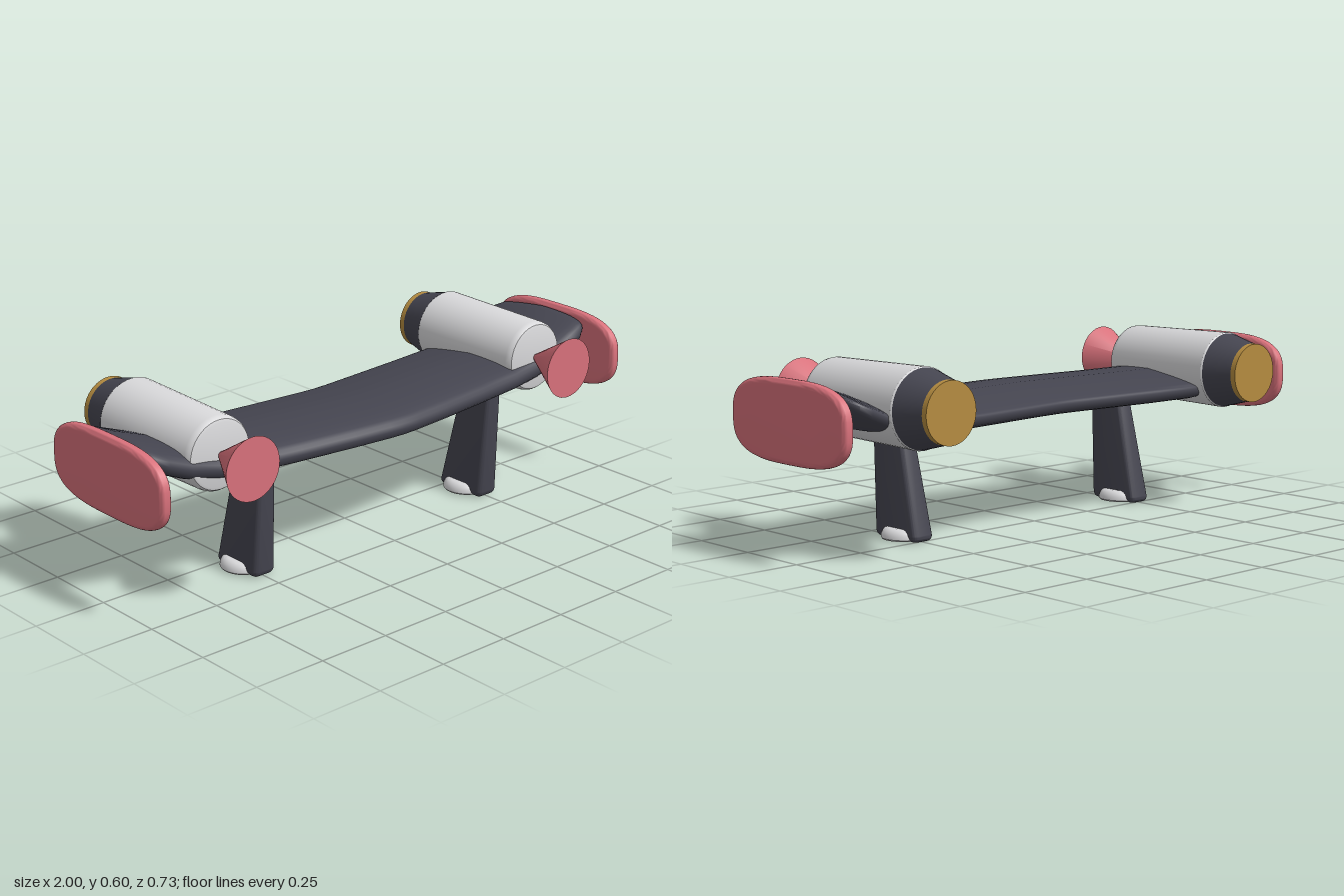
import * as THREE from 'three';
import { toCreasedNormals } from 'three/addons/utils/BufferGeometryUtils.js';
import { RoundedBoxGeometry } from 'three/addons/geometries/RoundedBoxGeometry.js';

const material = (name, color, side = THREE.FrontSide) => {
  const m = new THREE.MeshStandardMaterial({ color, side });
  m.name = name;
  return m;
};

const mesh = (name, geometry, mat) => {
  const m = new THREE.Mesh(geometry, mat);
  m.name = name;
  return m;
};

// Turned solid; points are [radius, height]
const turned = (points, segments = 40) =>
  toCreasedNormals(
    new THREE.LatheGeometry(points.map(([r, h]) => new THREE.Vector2(r, h)), segments), 0.6);

// Turned solid lying along z
const turnedAlongZ = (points) => turned(points).rotateX(Math.PI / 2);

const spow = (v, e) => Math.sign(v) * Math.pow(Math.abs(v), e);

// Cranked wing lofted across x, with upswept tips and a thinner rear edge
function wingGeometry() {
  // x, rear z, front z, middle y, half thickness
  const half = [
    [0, -0.165, 0.305, 0.415, 0.05],
    [0.06, -0.168, 0.302, 0.415, 0.05],
    [0.2, -0.18, 0.288, 0.415, 0.05],
    [0.4, -0.198, 0.263, 0.415, 0.05],
    [0.58, -0.213, 0.24, 0.417, 0.05],
    [0.7, -0.222, 0.226, 0.429, 0.052],
    [0.8, -0.227, 0.216, 0.452, 0.052],
    [0.88, -0.23, 0.209, 0.483, 0.049],
    [0.925, -0.225, 0.203, 0.503, 0.045],
    [0.95, -0.205, 0.188, 0.515, 0.038],
    [0.962, -0.175, 0.165, 0.52, 0.026],
  ];
  const sections = [...half.slice(1).reverse().map(([x, ...r]) => [-x, ...r]), ...half];
  const n = 32, pos = [], idx = [];
  for (const [x, back, front, y, t] of sections) {
    for (let j = 0; j < n; j++) {
      const a = (j / n) * Math.PI * 2;
      const u = spow(Math.cos(a), 0.7);
      let v = spow(Math.sin(a), 0.7);
      if (v > 0 && u < 0) v *= 1 + 0.6 * u;
      pos.push(x, y + t * v, (back + front) / 2 + ((front - back) / 2) * u);
    }
  }
  for (let i = 0; i < sections.length - 1; i++) {
    for (let j = 0; j < n; j++) {
      const k = (j + 1) % n;
      const a = i * n + j, b = i * n + k, c = a + n, d = b + n;
      idx.push(a, c, b, b, c, d);
    }
  }
  // Tip caps
  const last = (sections.length - 1) * n;
  for (let j = 1; j < n - 1; j++) {
    idx.push(0, j, j + 1, last, last + j + 1, last + j);
  }
  const g = new THREE.BufferGeometry();
  g.setAttribute('position', new THREE.Float32BufferAttribute(pos, 3));
  g.setIndex(idx);
  g.computeVertexNormals();
  return toCreasedNormals(g, 0.9);
}

// Leg: rounded block narrowing upward, with its rear edge leaning forward
function legGeometry() {
  const h = 0.4;
  const g = new RoundedBoxGeometry(0.088, h, 0.205, 4, 0.022);
  const p = g.attributes.position;
  for (let i = 0; i < p.count; i++) {
    const y = p.getY(i) + h / 2, t = y / h;
    p.setXYZ(i,
      p.getX(i) * (1 - 0.3 * t), y,
      p.getZ(i) * (1 - 0.36 * t) + 0.0825 + 0.0585 * t);
  }
  return toCreasedNormals(g, 0.6);
}

// Wing-tip plate: superellipse outline with a rounded rim
function plateGeometry() {
  const rim = 0.018, pts = [];
  for (let i = 0; i < 56; i++) {
    const a = (i / 56) * Math.PI * 2;
    pts.push(new THREE.Vector2(
      (0.285 - rim) * spow(Math.cos(a), 0.64), (0.133 - rim) * spow(Math.sin(a), 0.64)));
  }
  const g = new THREE.ExtrudeGeometry(new THREE.Shape(pts), {
    depth: 0.006, bevelEnabled: true, bevelThickness: 0.017, bevelSize: rim, bevelSegments: 5,
  });
  g.translate(0, 0, -0.003).rotateY(Math.PI / 2);
  return toCreasedNormals(g, 0.7);
}

export function createModel() {
  const dark = material('charcoal', 0x454550);
  const white = material('light grey', 0xd8d8da);
  const red = material('coral red', 0xd8717b);
  const gold = material('gold', 0xb58c40);

  const model = new THREE.Group();
  model.name = 'wingedCraft';
  model.add(mesh('wing', wingGeometry(), dark));

  const legGeo = legGeometry();
  const plateGeo = plateGeometry();
  const footGeo = turned([
    [0, 0.003], [0.076, 0.003], [0.08, 0.008], [0.079, 0.018],
    [0.074, 0.029], [0.066, 0.037], [0.058, 0.04], [0, 0.04]]);
  const bodyGeo = turnedAlongZ([
    [0, -0.242], [0.126, -0.242], [0.13, -0.236], [0.1225, 0.185],
    [0.12, 0.198], [0.114, 0.207], [0.105, 0.21], [0, 0.21]]);
  const tailGeo = turnedAlongZ([[0, -0.346], [0.1, -0.346], [0.127, -0.241], [0, -0.241]]);
  const capGeo = turnedAlongZ([[0, -0.366], [0.1, -0.366], [0.1, -0.345], [0, -0.345]]);
  const noseGeo = turnedAlongZ([[0, 0.205], [0.012, 0.213], [0.104, 0.366], [0, 0.366]]);

  for (const side of [1, -1]) {
    const prefix = side > 0 ? 'left' : 'right';

    // Engine pod
    const engine = new THREE.Group();
    engine.name = prefix + 'Engine';
    engine.position.set(side * 0.69, 0.474, 0);
    engine.add(
      mesh('engineBody', bodyGeo, white),
      mesh('engineTail', tailGeo, dark),
      mesh('exhaustCap', capGeo, gold),
      mesh('noseCone', noseGeo, red));
    model.add(engine);

    // Landing leg and foot
    const leg = mesh(prefix + 'Leg', legGeo, dark);
    leg.position.x = side * 0.5;
    const foot = mesh(prefix + 'Foot', footGeo, white);
    foot.position.set(side * 0.5, 0, 0.078);
    model.add(leg, foot);

    // Wing-tip plate
    const plate = mesh(prefix + 'TipPlate', plateGeo, red);
    plate.position.set(side * 0.98, 0.433, 0.04);
    model.add(plate);
  }
  return model;
}
